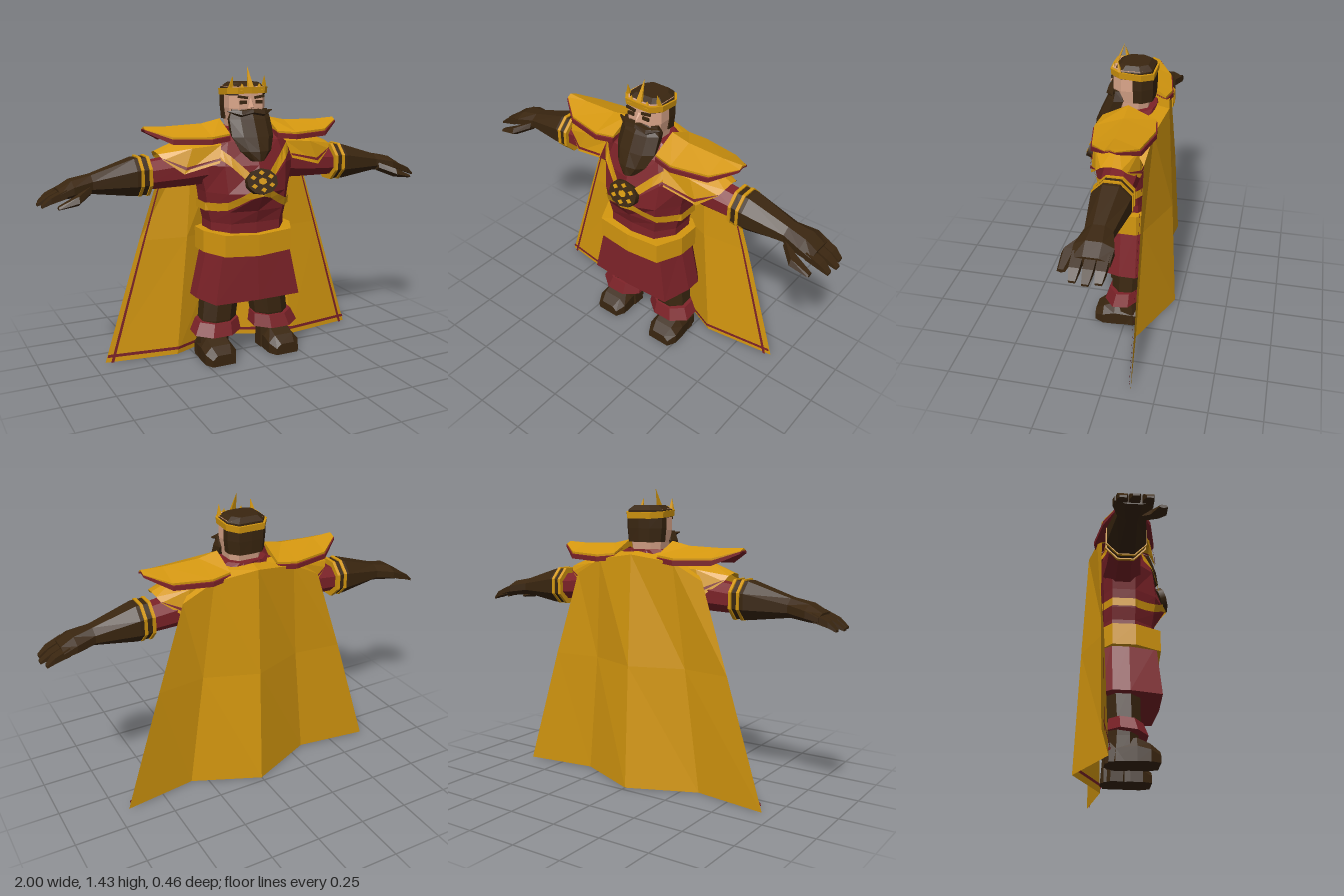
import * as THREE from 'three';

const mat = (name, color) => {
  const m = new THREE.MeshStandardMaterial({ color, side: THREE.DoubleSide });
  m.name = name;
  return m;
};
const lerp = (a, b, t) => a + (b - a) * t;
const mix = (a, b, t) => a.map((v, i) => lerp(v, b[i], t));

// faceted mesh from a list of triangles
function facets(tris) {
  const g = new THREE.BufferGeometry();
  g.setAttribute('position', new THREE.Float32BufferAttribute(tris.flat(2), 3));
  g.computeVertexNormals();
  return g;
}

// closed solid through rings of equal length, turned outward by its volume
function loft(rings) {
  const tris = [], n = rings[0].length;
  const mid = r => [0, 1, 2].map(k => r.reduce((s, p) => s + p[k], 0) / n);
  for (let i = 0; i < rings.length - 1; i++)
    for (let j = 0; j < n; j++) {
      const k = (j + 1) % n, a = rings[i], b = rings[i + 1];
      tris.push([a[j], a[k], b[k]], [a[j], b[k], b[j]]);
    }
  const first = rings[0], last = rings[rings.length - 1];
  for (let j = 0; j < n; j++) {
    const k = (j + 1) % n;
    tris.push([mid(first), first[k], first[j]], [mid(last), last[j], last[k]]);
  }
  const v = p => new THREE.Vector3(...p);
  const vol = tris.reduce((s, t) => s + v(t[0]).dot(v(t[1]).cross(v(t[2]))), 0);
  return facets(vol < 0 ? tris.map(([a, b, c]) => [a, c, b]) : tris);
}

// open sheet through rows of points
function sheet(rows) {
  const tris = [];
  for (let i = 0; i < rows.length - 1; i++)
    for (let j = 0; j < rows[i].length - 1; j++) {
      const a = rows[i], b = rows[i + 1];
      tris.push([a[j], a[j + 1], b[j + 1]], [a[j], b[j + 1], b[j]]);
    }
  return facets(tris);
}

// horizontal ring from a right-half outline of [x, z], front centre to back centre
const half = (y, pts) => [...pts.map(([x, z]) => [x, y, z]),
  ...pts.slice(1, -1).reverse().map(([x, z]) => [-x, y, z])];
const ringY = (y, cx, cz, rx, rz, n = 8) => Array.from({ length: n }, (_, i) => {
  const a = (i + 0.5) / n * Math.PI * 2;
  return [cx + rx * Math.sin(a), y, cz + rz * Math.cos(a)];
});
const ringX = (x, cy, cz, ry, rz, n = 8) => Array.from({ length: n }, (_, i) => {
  const a = (i + 0.5) / n * Math.PI * 2;
  return [x, cy + ry * Math.cos(a), cz + rz * Math.sin(a)];
});

export function createModel() {
  const gold = mat('gold', 0xd4970f), maroon = mat('maroon', 0x7c2228);
  const brown = mat('dark brown', 0x3a2610), skin = mat('skin', 0xdba68a);
  const root = new THREE.Group();
  const add = (name, geo, m) => {
    const mesh = new THREE.Mesh(geo, m);
    mesh.name = name;
    root.add(mesh);
    return mesh;
  };

  // torso: y, side x, corner x, corner z, centre z
  const T = [[0.58, 0.195, 0.13, 0.14, 0.15], [0.70, 0.195, 0.13, 0.135, 0.145],
    [0.76, 0.21, 0.14, 0.145, 0.165], [0.85, 0.222, 0.15, 0.155, 0.222],
    [0.98, 0.25, 0.16, 0.14, 0.175], [1.09, 0.22, 0.13, 0.11, 0.13], [1.15, 0.1, 0.06, 0.05, 0.07]];
  add('torso', loft(T.map(([y, w, c, z, f]) =>
    half(y, [[0, f], [c, z], [w, 0.05], [w, -0.06], [c, -0.1], [0, -0.11]]))), maroon);
  // front depth of the torso, for parts that lie on it
  const frontZ = (x, y) => {
    const i = Math.max(0, Math.min(T.length - 2, T.findIndex(r => r[0] > y) - 1));
    const [, w, c, z, f] = mix(T[i], T[i + 1], (y - T[i][0]) / (T[i + 1][0] - T[i][0]));
    const a = Math.abs(x);
    return (a < c ? lerp(f, z, a / c) : lerp(z, 0.05, (a - c) / (w - c))) + 0.01;
  };

  // skirt and belt
  add('skirt', loft([[0.32, 0.265, 0.225, 0.18, -0.11], [0.58, 0.205, 0.175, 0.16, -0.1]].map(([y, w, c, f, b]) =>
    half(y, [[0, f], [c, f - 0.01], [w, 0.02], [w, -0.06], [c, b], [0, b]]))), maroon);
  const belt = loft([0, 1].map(t => half(0, [[0, 0.18], [0.175, 0.172], [0.235, 0.05], [0.235, -0.06], [0.18, -0.108], [0, -0.112]])
    .map(([x, , z]) => [x, (t ? 0.645 : 0.54) + Math.abs(x) * 0.07, z])));
  add('belt', belt, gold);

  // cape: three half-columns per row, mirrored
  const capeRows = [
    [[0.29, 1.07, -0.06], [0.18, 1.13, -0.07], [0, 1.15, -0.08]],
    [[0.36, 1.02, -0.12], [0.21, 1.1, -0.135], [0, 1.13, -0.168]],
    [[0.5, 0.6, -0.128], [0.26, 0.6, -0.1], [0, 0.6, -0.196]],
    [[0.69, 0, -0.13], [0.33, 0, -0.08], [0, 0, -0.225]]];
  const flip = ([x, y, z]) => [-x, y, z];
  add('cape', sheet(capeRows.map(r => [...r, ...r.slice(0, 2).reverse().map(flip)])), gold);
  const lift = ([x, y, z]) => [x, y, z + 0.009];

  for (const s of [1, -1]) {
    const S = pts => pts.map(([x, y, z]) => [x * s, y, z]);
    const part = (name, rings, m) => add(name, loft(rings.map(S)), m);
    const cloth = (name, rows, m) => add(name, sheet(rows.map(S)), m);

    // cape trim on the inside
    cloth('capeSideTrim', [0.07, 0.11].map(t => capeRows.slice(1).map(r => lift(mix(r[0], r[1], t)))), maroon);
    cloth('capeHemTrim', [0.045, 0.07].map(t => [0, 1, 2].map(j => lift(mix(capeRows[3][j], capeRows[2][j], t)))), maroon);

    // chest straps following the torso
    const onChest = (pts, dy) => pts.map(([x, y]) => [x, y + dy, frontZ(x, y + dy)]);
    const up = [[0.03, 0.9], [0.08, 0.95], [0.13, 1.0], [0.16, 1.025], [0.2, 1.05]];
    cloth('upperStrap', [onChest(up, -0.026), onChest(up, 0.026)], gold);
    const low = [[0, 0.86], [0.05, 0.845], [0.1, 0.815], [0.15, 0.79], [0.18, 0.782], [0.21, 0.78]];
    cloth('lowerStrap', [-0.02, 0.02].map(d => [...onChest(low, d), [0.226, 0.78 + d, 0.05],
      [0.226, 0.78 + d, -0.06], [0.15, 0.78 + d, -0.108], [0, 0.78 + d, -0.118]]), gold);

    // shoulder cloth draped over the upper arm
    const drape = [
      [[0.15, 1.13, 0], [0.32, 1.11, 0], [0.46, 1.055, 0]],
      [[0.17, 1.08, 0.12], [0.31, 1.07, 0.11], [0.455, 1.045, 0.05]],
      [[0.19, 1.0, 0.15], [0.355, 0.955, 0.12], [0.44, 1.02, 0.075]]];
    for (const f of [1, -1]) {
      const side = drape.map(r => r.map(([x, y, z]) => [x, y, z * (f > 0 ? 1 : 0.85)*f]));
      cloth('shoulderCloth', side, gold);
      cloth('shoulderTrim', [0.74, 0.86].map(t => side[1].map((p, j) => {
        const q = mix(p, side[2][j], t);
        return [q[0], q[1] + 0.002, q[2] + 0.007 * f];
      })), maroon);
    }

    // pauldron: x, ridge y, edge y, edge z
    const P = [[0.125, 1.19, 1.13, 0.12], [0.22, 1.17, 1.12, 0.135], [0.4, 1.165, 1.125, 0.1], [0.505, 1.17, 1.158, 0.02]];
    const plate = (drop, thick, grow) => P.map(([x, r, e, z], i) => {
      const k = i === 3 ? 0.4 : 1, d = drop * k, t = thick * k, w = z + grow;
      return [[x, r - d, 0], [x, e - d, w], [x, e - d - t, w], [x, r - d - t, 0],
        [x, e - d - t, -w - 0.01], [x, e - d, -w - 0.01]];
    });
    part('pauldron', plate(0, 0.012, 0), gold);
    part('pauldronLining', plate(0.012, 0.022, 0.006), maroon);

    // sleeve, glove and cuff bands
    part('sleeve', [ringX(0.17, 0.98, -0.01, 0.1, 0.1), ringX(0.32, 0.955, -0.015, 0.08, 0.085),
      ringX(0.51, 0.94, -0.02, 0.068, 0.075)], maroon);
    part('glove', [ringX(0.495, 0.942, -0.02, 0.094, 0.09), ringX(0.56, 0.94, -0.02, 0.094, 0.095),
      ringX(0.76, 0.922, -0.018, 0.046, 0.065), ringX(0.85, 0.908, -0.02, 0.042, 0.09),
      ringX(0.91, 0.888, -0.02, 0.026, 0.086)], brown);
    for (const x of [0.488, 0.528])
      part('cuffBand', [ringX(x, 0.942, -0.02, 0.099, 0.097), ringX(x + 0.015, 0.942, -0.02, 0.1, 0.099)], gold);
    for (const [z, end] of [[-0.07, 0.985], [-0.02, 1], [0.035, 0.99]])
      part('finger', [ringX(0.88, 0.897, z, 0.027, 0.033, 4), ringX(0.95, 0.872, z, 0.019, 0.031, 4),
        ringX(end, 0.847, z, 0.007, 0.02, 4)], brown);
    part('thumb', [ringX(0.77, 0.902, 0.025, 0.024, 0.03, 5), ringX(0.84, 0.872, 0.085, 0.025, 0.035, 5),
      ringX(0.93, 0.846, 0.095, 0.009, 0.018, 5)], brown);

    // leg, knee cuff and boot
    part('leg', [ringY(0.36, 0.125, -0.01, 0.1, 0.09), ringY(0.2, 0.145, -0.005, 0.098, 0.085),
      ringY(0.12, 0.165, -0.01, 0.08, 0.075), ringY(0, 0.17, -0.015, 0.085, 0.08)], brown);
    const tilt = r => r.map(([x, y, z]) => [x, y - z * 0.12, z]);
    part('kneeCuff', [tilt(ringY(0.2, 0.15, 0.005, 0.112, 0.085)), tilt(ringY(0.14, 0.16, 0.012, 0.132, 0.1))], maroon);
    part('boot', [[-0.075, 0.065, 0.09], [0.05, 0.08, 0.115], [0.11, 0.082, 0.088], [0.155, 0.06, 0.055]].map(([z, w, h]) =>
      [[0.175 - w, 0, z], [0.175 + w, 0, z], [0.175 + w, h * 0.6, z], [0.175 + w * 0.6, h, z],
        [0.175 - w * 0.6, h, z], [0.175 - w, h * 0.6, z]]), brown);

    // eye, brow and moustache
    const eye = add('eye', new THREE.BoxGeometry(0.034, 0.016, 0.008), brown);
    eye.position.set(s * 0.042, 1.268, 0.087);
    const brow = add('eyebrow', new THREE.BoxGeometry(0.05, 0.012, 0.009), brown);
    brow.position.set(s * 0.043, 1.292, 0.087);
    brow.rotation.z = s * 0.15;
    part('moustache', [ringX(0, 1.226, 0.1, 0.014, 0.02, 5), ringX(0.06, 1.216, 0.098, 0.017, 0.02, 5),
      ringX(0.115, 1.228, 0.075, 0.003, 0.005, 5)], brown);
  }

  // emblem: a plain studded disc leaning with the chest
  const emblem = new THREE.Group();
  emblem.name = 'chestDisc';
  const stud = (geo, m, x, y, z, name) => {
    const mesh = new THREE.Mesh(geo, m);
    mesh.rotation.x = Math.PI / 2;
    mesh.position.set(x, y, z);
    mesh.name = name;
    emblem.add(mesh);
  };
  const disc = (r, h, n) => new THREE.CylinderGeometry(r, r, h, n).toNonIndexed();
  stud(disc(0.074, 0.035, 10), brown, 0, 0, 0, 'disc');
  for (let i = 0; i < 6; i++)
    stud(disc(0.014, 0.009, 4), gold, 0.048 * Math.sin(i * Math.PI / 3), 0.048 * Math.cos(i * Math.PI / 3), 0.018, 'stud');
  stud(disc(0.02, 0.009, 6), gold, 0, 0, 0.018, 'centreStud');
  emblem.position.set(0, 0.905, 0.197);
  emblem.rotation.x = -0.34;
  emblem.scale.set(1.1, 0.85, 0.8);
  root.add(emblem);

  // head, nose and collar
  const skull = (y, w, f, b) => half(y, [[0, f + 0.003], [w * 0.66, f], [w, f * 0.5], [w, b * 0.5], [w * 0.62, b], [0, b]]);
  add('head', loft([skull(1.1, 0.075, 0.06, -0.07), skull(1.18, 0.084, 0.075, -0.08),
    skull(1.24, 0.094, 0.082, -0.088), skull(1.34, 0.094, 0.08, -0.09)]), skin);
  add('nose', loft([[[-0.009, 1.285, 0.08], [0.009, 1.285, 0.08], [0, 1.285, 0.088]],
    [[-0.018, 1.24, 0.08], [0.018, 1.24, 0.08], [0, 1.245, 0.113]]]), skin);
  add('collar', loft([ringY(1.08, 0, -0.02, 0.17, 0.12), ringY(1.15, 0, -0.015, 0.105, 0.095)]), maroon);

  // beard
  add('beard', loft([[1.235, 0.093, 0.045, 0.09], [1.19, 0.107, 0.03, 0.118], [1.11, 0.108, 0.06, 0.155],
    [1.045, 0.08, 0.1, 0.182], [1.0, 0.035, 0.13, 0.188]].map(([y, w, b, f]) =>
    half(y, [[0, f], [w * 0.6, f - 0.01], [w, (f + b) / 2], [w * 0.9, b], [0, b]]))), brown);

  // hair
  add('hairTop', loft([skull(1.3, 0.098, 0.08, -0.098), skull(1.335, 0.098, 0.078, -0.098), skull(1.357, 0.07, 0.045, -0.075)]), brown);
  add('hairBack', loft([[1.185, 0.092, -0.098], [1.25, 0.099, -0.101], [1.32, 0.099, -0.1]].map(([y, w, b]) =>
    half(y, [[0, -0.015], [w, -0.015], [w, -0.055], [w * 0.62, b], [0, b - 0.004]]))), brown);

  // crown
  add('crownBand', loft([skull(1.302, 0.104, 0.09, -0.105), skull(1.332, 0.107, 0.093, -0.107)]
    .map(r => r.map(([x, y, z]) => [x, y + z * 0.07, z]))), gold);
  const spike = (x, z, w, tip) => add('crownSpike', loft([ringY(1.325, x, z, w, 0.012, 4),
    ringY(tip[1], tip[0], tip[2], 0.001, 0.001, 4)]), gold);
  spike(0, 0.085, 0.022, [0, 1.432, 0.042]);
  for (const s of [1, -1]) {
    spike(s * 0.088, 0.045, 0.018, [s * 0.083, 1.388, 0.058]);
    spike(s * 0.045, 0.085, 0.02, [s * 0.045, 1.355, 0.08]);
  }
  return root;
}
